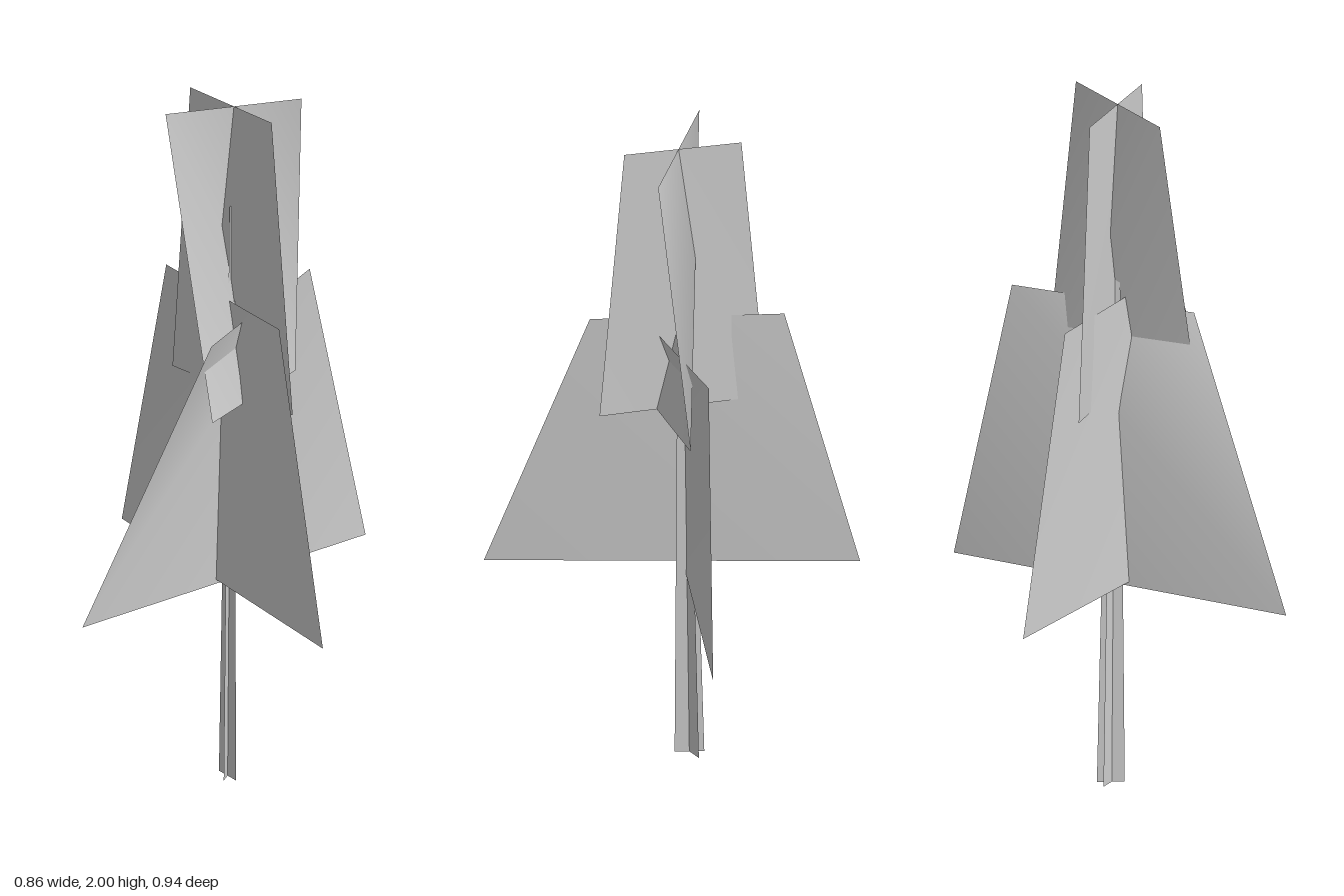
import * as THREE from 'three';

const material = new THREE.MeshStandardMaterial({ color: 0xcccccc, side: THREE.DoubleSide });

// One thin card: corners bottom-left, bottom-right, top-right, top-left,
// folded along the diagonal bottom-left to top-right, or the other one.
function card(name, corners, foldFromTopLeft = false) {
  const geometry = new THREE.BufferGeometry();
  geometry.setAttribute('position', new THREE.Float32BufferAttribute(corners.flat(), 3));
  geometry.setIndex(foldFromTopLeft ? [0, 1, 3, 1, 2, 3] : [0, 1, 2, 0, 2, 3]);
  geometry.computeVertexNormals();
  const mesh = new THREE.Mesh(geometry, material);
  mesh.name = name;
  return mesh;
}

export function createModel() {
  const tree = new THREE.Group();
  tree.name = 'tree';

  // Trunk: two narrow crossed cards that taper upwards
  const trunk = new THREE.Group();
  trunk.name = 'trunk';
  trunk.add(
    card('trunkCardWide', [[-0.05, 0, -0.04], [0.02, 0, 0], [0.012, 1.7, -0.005], [-0.012, 1.7, -0.018]]),
    card('trunkCardDeep', [[-0.01, 0, 0.015], [-0.02, 0, -0.06], [0, 1.7, -0.025], [0, 1.7, 0]])
  );

  // Lower foliage: two broad crossed cards, the deep one twisted
  const lower = new THREE.Group();
  lower.name = 'lowerFoliage';
  lower.add(
    card('lowerCardWide', [[-0.43, 0.6, -0.23], [0.43, 0.6, 0.32], [0.21, 1.43, 0.13], [-0.25, 1.43, -0.13]]),
    card('lowerCardDeep', [[-0.22, 0.6, 0.47], [0.19, 0.575, -0.465], [0.1, 1.415, -0.3], [0.04, 1.375, 0.2]])
  );

  // Upper foliage: two smaller crossed cards that reach the top
  const upper = new THREE.Group();
  upper.name = 'upperFoliage';
  upper.add(
    card('upperCardWide', [[-0.215, 1.15, -0.095], [0.22, 1.15, 0.065], [0.15, 2, 0.05], [-0.15, 2, -0.07]]),
    card('upperCardDeep', [[0.045, 1.15, 0.205], [0.1, 1.15, -0.208], [0.155, 2, -0.13], [-0.135, 2, 0.12]], true)
  );

  tree.add(trunk, lower, upper);
  return tree;
}
